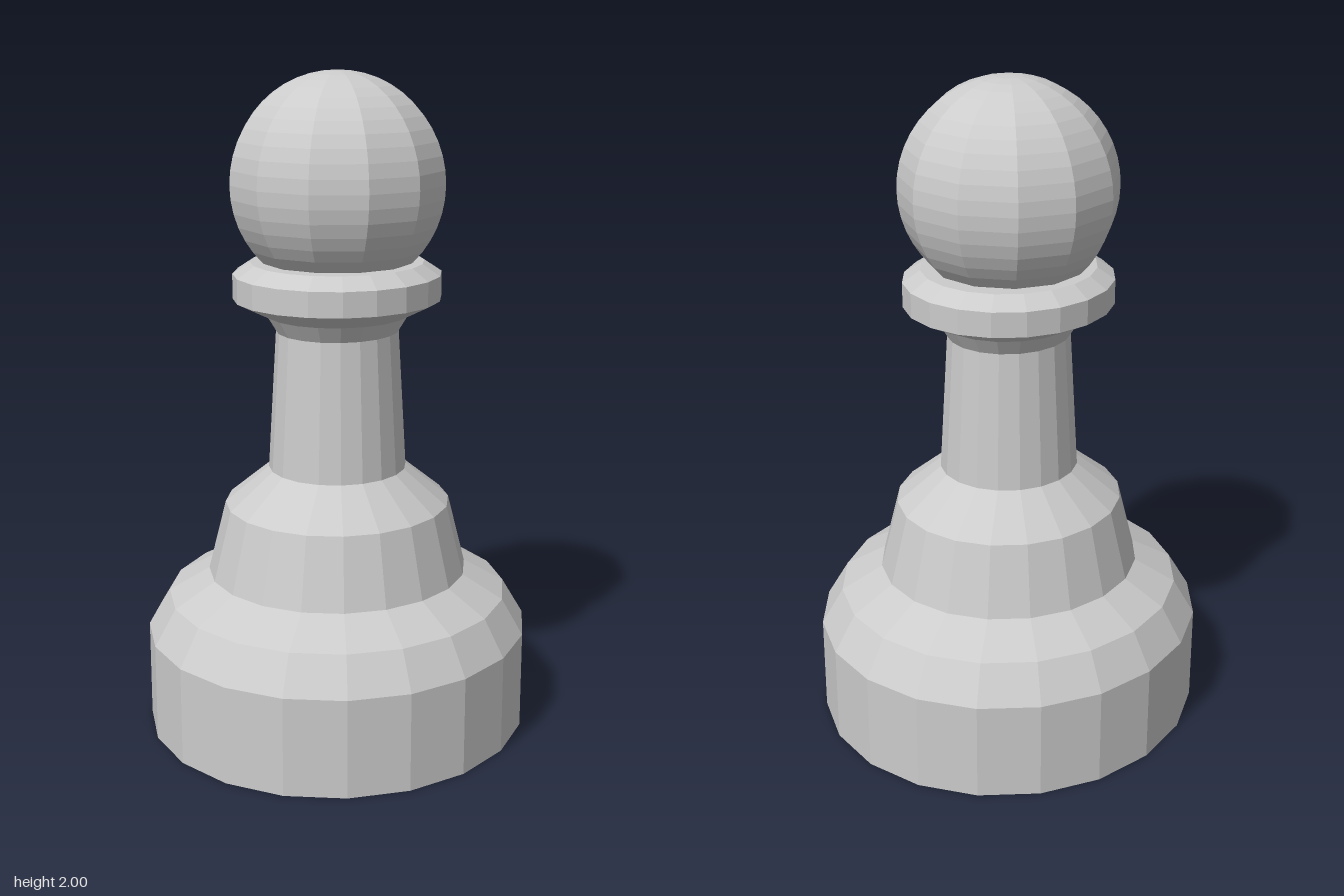
import * as THREE from 'three';

export function createModel() {
  const group = new THREE.Group();
  group.name = 'chessPawn';
  const material = new THREE.MeshStandardMaterial({ color: 0xcccccc, flatShading: true });

  // Turned part with 20 sides, slightly deeper than wide
  function addTurned(name, profile) {
    const points = profile.map(([r, y]) => new THREE.Vector2(r, y));
    const mesh = new THREE.Mesh(new THREE.LatheGeometry(points, 20), material);
    mesh.name = name;
    mesh.scale.z = 1.066;
    group.add(mesh);
  }

  // Base drum, shoulder, foot bell, neck and closed collar in one continuous turning
  addTurned('body', [
    [0, 0], [0.587, 0], [0.587, 0.3], [0.522, 0.41], [0.398, 0.48],
    [0.344, 0.695], [0.21, 0.805], [0.185, 1.23], [0.215, 1.28],
    [0.313, 1.33], [0.313, 1.405], [0.26, 1.44], [0, 1.44],
  ]);

  // Ball head: 12 gores, fine rings
  const head = new THREE.Mesh(new THREE.SphereGeometry(0.326, 12, 24), material);
  head.name = 'head';
  head.position.y = 1.674;
  group.add(head);

  return group;
}
